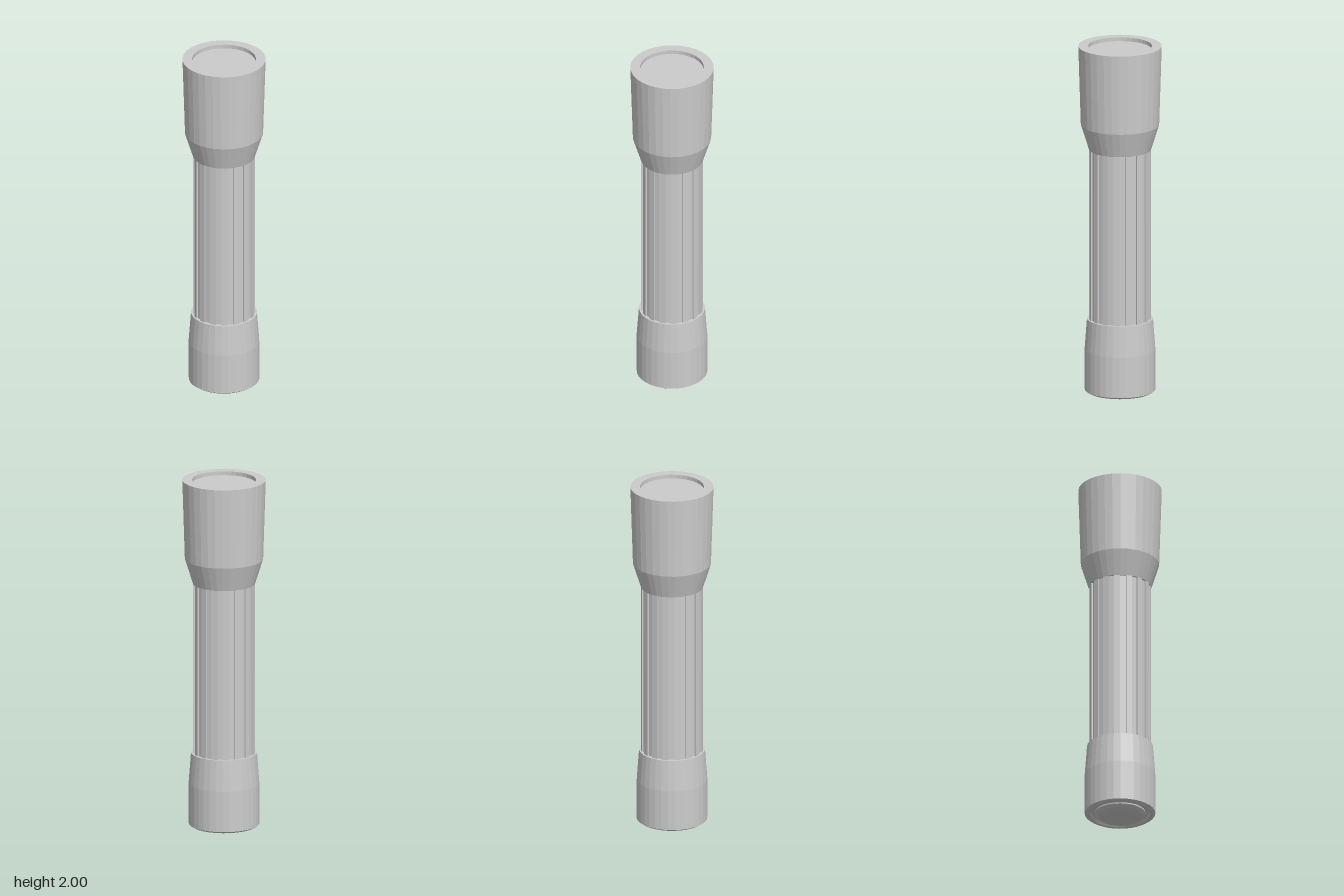
import * as THREE from 'three';

const SIDES = 32;
const material = new THREE.MeshStandardMaterial({ color: 0xcccccc, flatShading: true });

// Faceted turned part; profile of [radius, y] runs from bottom to top on the outside
function turned(name, profile) {
  const points = profile.map(([r, y]) => new THREE.Vector2(r, y));
  const mesh = new THREE.Mesh(new THREE.LatheGeometry(points, SIDES), material);
  mesh.name = name;
  return mesh;
}

// Grip: alternate facets stand proud as lengthwise ribs
function ribbedGrip(outer, inner, bottom, top) {
  const shape = new THREE.Shape();
  const step = (Math.PI * 2) / SIDES;
  for (let i = 0; i < SIDES; i++) {
    const r = i % 2 === 0 ? outer : inner;
    for (const a of [i * step, (i + 1) * step]) {
      // angle measured from +z towards +x, before the shape is stood upright
      const x = r * Math.sin(a), y = -r * Math.cos(a);
      if (i === 0 && a === 0) shape.moveTo(x, y);
      else shape.lineTo(x, y);
    }
  }
  shape.closePath();
  const geometry = new THREE.ExtrudeGeometry(shape, { depth: top - bottom, bevelEnabled: false });
  geometry.rotateX(-Math.PI / 2);
  geometry.translate(0, bottom, 0);
  const mesh = new THREE.Mesh(geometry, material);
  mesh.name = 'ribbedGrip';
  return mesh;
}

export function createModel() {
  const group = new THREE.Group();
  group.name = 'flashlight';

  // Tail cap with chamfered foot and a shallow recess around the button
  group.add(turned('tailCap', [
    [0, 0.045], [0.155, 0.045], [0.165, 0.03], [0.18, 0.03], [0.195, 0.04],
    [0.195, 0.27], [0.182, 0.445], [0, 0.445],
  ]));

  // Domed push button underneath
  group.add(turned('tailButton', [
    [0, 0], [0.06, 0.003], [0.1, 0.011], [0.125, 0.022], [0.14, 0.036], [0.14, 0.05],
  ]));

  group.add(ribbedGrip(0.172, 0.163, 0.42, 1.43));

  // Flared head with flat rim and the bore down to the lens
  group.add(turned('head', [
    [0, 1.41], [0.172, 1.41], [0.216, 1.55], [0.23, 2], [0.176, 2], [0.176, 1.975],
  ]));

  // Recessed lens
  group.add(turned('lens', [[0.176, 1.978], [0, 1.978]]));

  return group;
}
